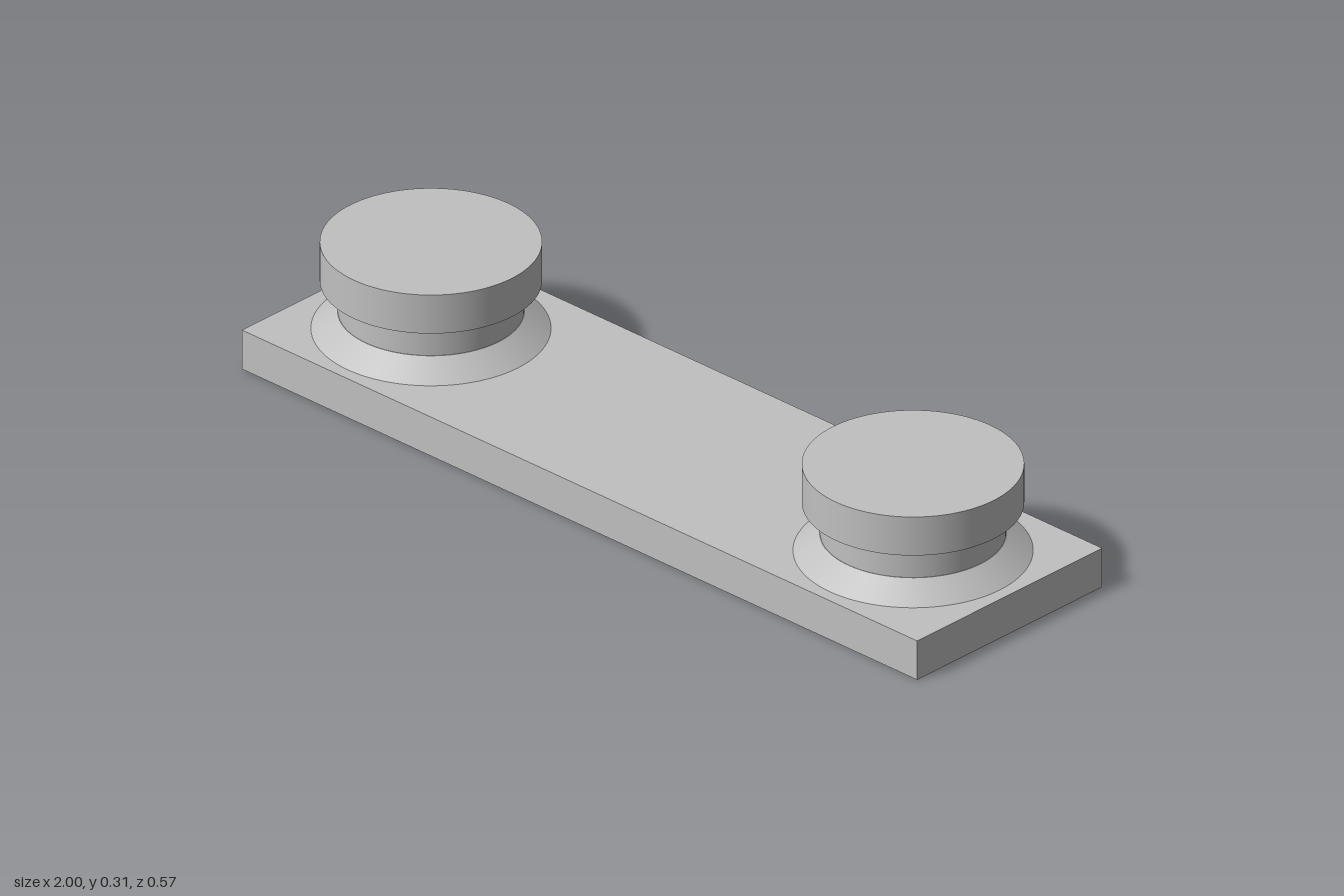
import * as THREE from 'three';

export function createModel() {
  const model = new THREE.Group();
  const grey = new THREE.MeshStandardMaterial({ color: 0xc0c0c0 });
  grey.name = 'plain grey';

  const add = (parent, name, geometry, y) => {
    const mesh = new THREE.Mesh(geometry, grey);
    mesh.name = name;
    mesh.position.y = y;
    parent.add(mesh);
  };

  // Round section between two heights
  const section = (parent, name, rTop, rBottom, y0, y1) =>
    add(parent, name, new THREE.CylinderGeometry(rTop, rBottom, y1 - y0, 96), (y0 + y1) / 2);

  // Flat base plate
  add(model, 'basePlate', new THREE.BoxGeometry(2, 0.095, 0.572), 0.0475);

  // Mirrored posts: flared foot, neck and wide cap
  for (const side of [-1, 1]) {
    const post = new THREE.Group();
    post.name = side > 0 ? 'leftPost' : 'rightPost';
    post.position.x = side * 0.714;
    section(post, 'flaredFoot', 0.2, 0.257, 0.095, 0.137);
    section(post, 'neck', 0.199, 0.199, 0.137, 0.212);
    section(post, 'cap', 0.238, 0.238, 0.212, 0.306);
    model.add(post);
  }
  return model;
}
